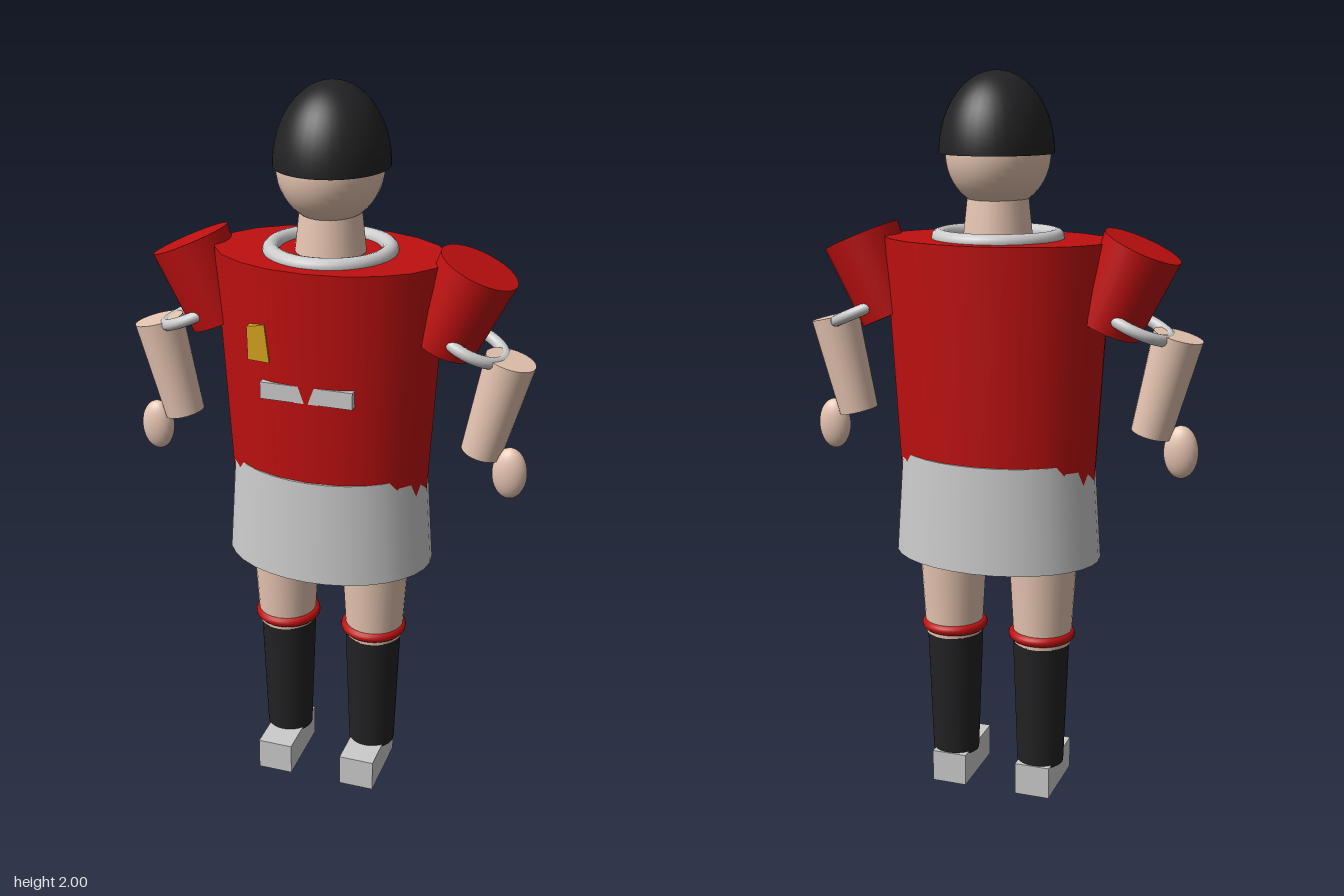
import * as THREE from 'three';

export function createModel() {
  const model = new THREE.Group();
  const mat = (color) => new THREE.MeshStandardMaterial({ color, side: THREE.DoubleSide });
  const skin = mat(0xe6c5b1), red = mat(0xc01010), black = mat(0x222224);
  const grey = mat(0xcccccc), gold = mat(0xd9a520);

  function add(name, geometry, material, x, y, z, parent = model) {
    const mesh = new THREE.Mesh(geometry, material);
    mesh.name = name;
    mesh.position.set(x, y, z);
    parent.add(mesh);
    return mesh;
  }
  // Tapered round part standing between two heights
  const taper = (name, material, rTop, rBottom, y0, y1, x = 0, z = 0, parent = model, sides = 28) =>
    add(name, new THREE.CylinderGeometry(rTop, rBottom, y1 - y0, sides), material, x, (y0 + y1) / 2, z, parent);
  // Ring lying flat around the vertical axis
  const ring = (name, material, radius, tube, x, y, z, parent = model) =>
    add(name, new THREE.TorusGeometry(radius, tube, 12, 40).rotateX(Math.PI / 2), material, x, y, z, parent);

  // Shirt and shorts: oval tapered bodies
  taper('shirt', red, 0.312, 0.274, 0.92, 1.57, 0, 0, model, 20).scale.z = 0.695;
  taper('shorts', grey, 0.27, 0.29, 0.7, 0.99, 0, 0, model, 32).scale.z = 0.735;
  ring('collar', grey, 0.155, 0.022, 0, 1.573, 0);

  // Chest decorations, partly sunk into the shirt
  add('chestBand', new THREE.BoxGeometry(0.25, 0.046, 0.03), grey, 0, 1.241, 0.187);
  const patch = new THREE.Shape([[-0.158, 1.32], [-0.1, 1.317], [-0.112, 1.418], [-0.16, 1.41]]
    .map(([x, y]) => new THREE.Vector2(x, y)));
  add('chestPatch', new THREE.ExtrudeGeometry(patch, { depth: 0.03, bevelEnabled: false }), gold, 0, 0, 0.168);

  // Neck, head and hair
  taper('neck', skin, 0.08, 0.095, 1.55, 1.69);
  add('head', new THREE.SphereGeometry(1, 36, 24), skin, 0, 1.79, 0.002).scale.set(0.138, 0.145, 0.146);
  add('hair', new THREE.SphereGeometry(1, 36, 16, 0, Math.PI * 2, 0, Math.PI / 2), black, 0, 1.79, -0.01)
    .scale.set(0.15, 0.21, 0.164);

  for (const [side, s] of [['left', 1], ['right', -1]]) {
    // Arm: tilted sleeve, cuff ring, forearm and hand
    const arm = new THREE.Group();
    arm.name = side + 'Arm';
    const tilt = -0.408 * s;
    taper('sleeve', red, 0.107, 0.091, 1.34, 1.572, s * 0.348, 0, arm).rotation.z = tilt;
    ring('cuff', grey, 0.09, 0.016, s * 0.385, 1.36, 0, arm).rotation.z = tilt;
    taper('forearm', skin, 0.067, 0.0545, 1.062, 1.337, s * 0.456, 0.018, arm).rotation.z = -0.243 * s;
    add('hand', new THREE.SphereGeometry(1, 24, 16), skin, s * 0.503, 1.02, 0.027, arm)
      .scale.set(0.047, 0.072, 0.032);

    // Leg: bare leg, sock with red band, block shoe
    const leg = new THREE.Group();
    leg.name = side + 'Leg';
    taper('thigh', skin, 0.097, 0.08, 0.448, 0.74, s * 0.132, 0, leg);
    ring('sockBand', red, 0.078, 0.015, s * 0.13, 0.473, 0, leg);
    taper('sock', black, 0.079, 0.066, 0.085, 0.449, s * 0.128, 0, leg);
    add('shoe', new THREE.BoxGeometry(0.1, 0.092, 0.213), grey, s * 0.125, 0.046, 0.037, leg);
    model.add(arm, leg);
  }
  return model;
}
